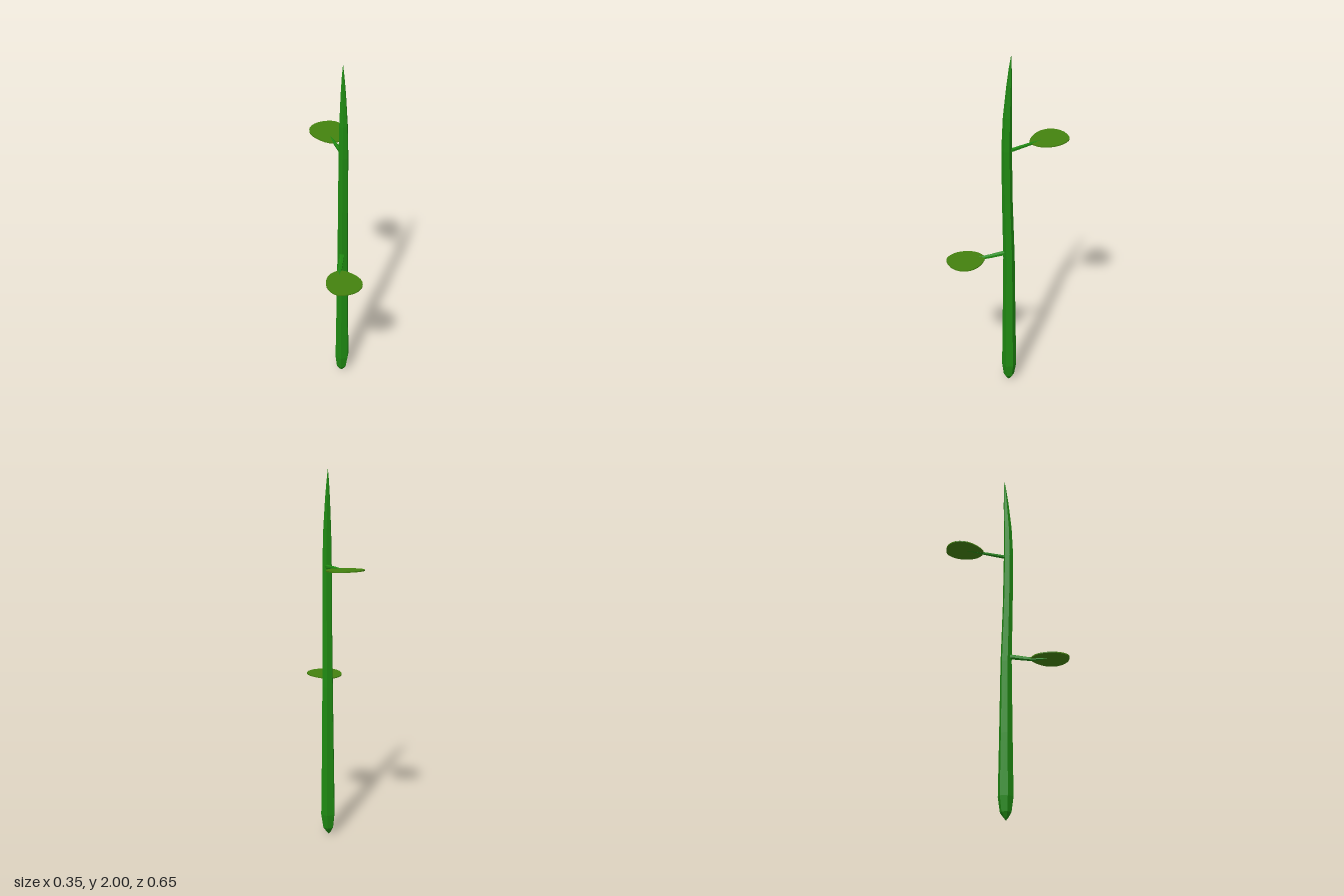
import * as THREE from 'three';

const stemMat = new THREE.MeshStandardMaterial({ color: 0x1f8a12, flatShading: true });
const leafMat = new THREE.MeshStandardMaterial({ color: 0x44820f, flatShading: true });
const Y = new THREE.Vector3(0, 1, 0);

// Closed loft through rings [x, y, z, radius]; u and v span the ring plane
function loft(rings, u, v, sides = 6) {
  const pos = [], idx = [];
  rings.forEach(([x, y, z, r], i) => {
    for (let j = 0; j < sides; j++) {
      const a = (j / sides) * Math.PI * 2;
      const p = new THREE.Vector3(x, y, z)
        .addScaledVector(u, r * Math.cos(a))
        .addScaledVector(v, r * Math.sin(a));
      pos.push(p.x, p.y, p.z);
      if (i === rings.length - 1) continue;
      const k = i * sides + j, n = i * sides + ((j + 1) % sides);
      idx.push(k, n, n + sides, k, n + sides, k + sides);
    }
  });
  const g = new THREE.BufferGeometry();
  g.setAttribute('position', new THREE.Float32BufferAttribute(pos, 3));
  g.setIndex(idx);
  g.computeVertexNormals();
  return g;
}

function add(group, name, geometry, material) {
  const mesh = new THREE.Mesh(geometry, material);
  mesh.name = name;
  group.add(mesh);
}

// Tapering leaf stalk along a mostly horizontal path
function stalk(rings) {
  const a = rings[0], b = rings[rings.length - 1];
  const w = new THREE.Vector3(b[0] - a[0], 0, b[2] - a[2]).normalize();
  return loft(rings, Y, new THREE.Vector3().crossVectors(w, Y));
}

// Outline of a leaf blade in x, z
const outline = [
  [0.175, 0.24], [0.162, 0.185], [0.11, 0.14], [0.04, 0.12], [-0.008, 0.16],
  [-0.021, 0.22], [0.0, 0.285], [0.05, 0.325], [0.1, 0.32], [0.15, 0.29],
];

// Thin blade, slightly rising toward its outer edge; side is 1 or -1 (turned half round)
function blade(side, y, rise) {
  const curve = new THREE.CatmullRomCurve3(
    outline.map(([x, z]) => new THREE.Vector3(x, -z, 0)), true);
  const pts = curve.getPoints(28).slice(0, -1).map(p => new THREE.Vector2(p.x, p.y));
  const g = new THREE.ExtrudeGeometry(new THREE.Shape(pts), { depth: 0.006, bevelEnabled: false });
  g.rotateX(-Math.PI / 2);
  const p = g.attributes.position;
  for (let i = 0; i < p.count; i++) {
    const x = p.getX(i) - 0.075, z = p.getZ(i) - 0.225;
    p.setY(i, p.getY(i) - 0.003 + rise * (0.6 * x + 0.8 * z));
  }
  if (side < 0) g.rotateY(Math.PI);
  g.translate(0, y, 0);
  g.computeVertexNormals();
  return g;
}

export function createModel() {
  const group = new THREE.Group();
  group.name = 'plant';

  // Six-sided main stem, pointed at both ends
  add(group, 'stem', loft([
    [0.03, 0.0, -0.01, 0.001],
    [0.03, 0.012, -0.01, 0.012],
    [0.032, 0.04, -0.012, 0.03],
    [0.034, 0.12, -0.013, 0.041],
    [0.034, 0.45, -0.012, 0.036],
    [0.035, 0.85, -0.011, 0.031],
    [0.037, 1.2, -0.002, 0.028],
    [0.038, 1.5, 0.002, 0.027],
    [0.037, 1.68, -0.002, 0.023],
    [0.034, 1.85, -0.011, 0.014],
    [0.032, 1.94, -0.016, 0.007],
    [0.031, 2.0, -0.02, 0.0005],
  ], new THREE.Vector3(0, 0, 1), new THREE.Vector3(1, 0, 0)), stemMat);

  // Lower leaf, toward the front
  add(group, 'lowerStalk', stalk([
    [0.034, 0.885, -0.01, 0.015],
    [0.035, 0.88, 0.02, 0.014],
    [0.037, 0.864, 0.09, 0.012],
    [0.039, 0.856, 0.135, 0.01],
    [0.042, 0.855, 0.175, 0.006],
    [0.044, 0.852, 0.21, 0.001],
  ]), stemMat);
  add(group, 'lowerLeaf', blade(1, 0.862, 0.02), leafMat);

  // Upper leaf, toward the back
  add(group, 'upperStalk', stalk([
    [0.04, 1.498, -0.01, 0.012],
    [0.03, 1.498, -0.03, 0.011],
    [-0.02, 1.502, -0.115, 0.009],
    [-0.058, 1.505, -0.18, 0.004],
    [-0.075, 1.505, -0.215, 0.001],
  ]), stemMat);
  add(group, 'upperLeaf', blade(-1, 1.508, 0.05), leafMat);

  return group;
}
